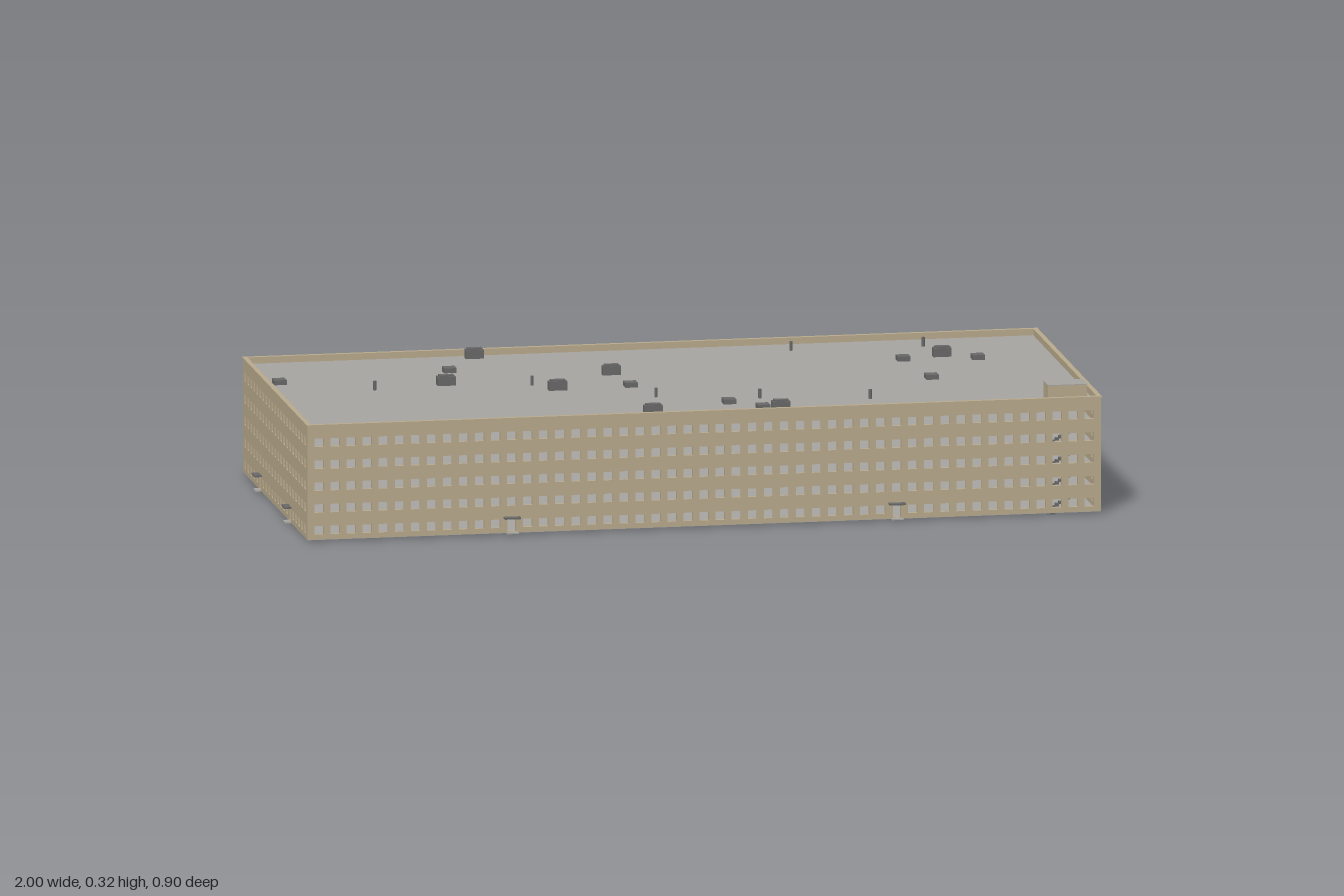
import * as THREE from 'three';

const material = (name, color) => new THREE.MeshStandardMaterial({ name, color });
const tan = material('tan masonry', 0xb7a98b);
const grey = material('grey concrete', 0xa6a4a1);
const dark = material('dark metal', 0x686868);

const HX = 0.982, HZ = 0.43;            // half length and half depth
const BASE = 0.005, ROOF = 0.274, TOP = 0.29;
const STEP = 0.0397, STOREY = 0.0543;   // window and floor spacing
const WALL = 0.01;

function box(parent, name, mat, w, h, d, x, y, z) {
  const mesh = new THREE.Mesh(new THREE.BoxGeometry(w, h, d), mat);
  mesh.name = name;
  mesh.position.set(x, y, z);
  parent.add(mesh);
  return mesh;
}

// Counter-clockwise rectangle, centred on x, from y0 to y1
function rect(Type, x, w, y0, y1) {
  const p = new Type();
  p.moveTo(x - w / 2, y0).lineTo(x + w / 2, y0).lineTo(x + w / 2, y1).lineTo(x - w / 2, y1).closePath();
  return p;
}

// Wall with window openings and two doorways; outer face at local z = 0
function wallGeometry(half, side, doorIndex) {
  const shape = rect(THREE.Shape, 0, half * 2, BASE, TOP);
  for (let row = 0; row < 5; row++) {
    for (let i = -side; i <= side; i++) {
      const y = 0.028 + row * STOREY, x = i * STEP;
      const door = row === 0 && Math.abs(i) === doorIndex;
      shape.holes.push(door
        ? rect(THREE.Path, x, 0.02, 0.008, 0.039)
        : rect(THREE.Path, x, 0.023, y - 0.0105, y + 0.0105));
    }
  }
  return new THREE.ExtrudeGeometry(shape, { depth: WALL, bevelEnabled: false }).translate(0, 0, -WALL);
}

function facade(name, geometry, half, doorX, out) {
  const g = new THREE.Group();
  g.name = name;
  const wall = new THREE.Mesh(geometry, tan);
  wall.name = 'windowWall';
  g.add(wall);
  // Projecting parapet band
  box(g, 'parapetBand', tan, half * 2 + 0.004, 0.004, WALL + 0.002, 0, TOP - 0.002, -WALL / 2 + 0.001);
  // Entrance canopies and doorsteps
  for (const s of [-1, 1]) {
    box(g, 'canopy', dark, 0.04, 0.004, out, s * doorX, 0.043, out / 2);
    box(g, 'doorstep', grey, 0.03, 0.003, out - 0.003, s * doorX, 0.0055, (out - 0.003) / 2);
  }
  return g;
}

export function createModel() {
  const model = new THREE.Group();
  model.name = 'officeBuilding';

  // Four facades
  const longWall = wallGeometry(HX, 24, 12);
  const shortWall = wallGeometry(HZ - WALL, 10, 5);
  const front = facade('frontFacade', longWall, HX, 12 * STEP, 0.018);
  front.position.z = HZ;
  const back = facade('backFacade', longWall, HX, 12 * STEP, 0.018);
  back.position.z = -HZ;
  back.rotation.y = Math.PI;
  const left = facade('leftFacade', shortWall, HZ - WALL, 5 * STEP, 0.018);
  left.position.x = HX;
  left.rotation.y = Math.PI / 2;
  const right = facade('rightFacade', shortWall, HZ - WALL, 5 * STEP, 0.018);
  right.position.x = -HX;
  right.rotation.y = -Math.PI / 2;
  model.add(front, back, left, right);

  // Ground slab and roof
  const inX = (HX - WALL) * 2, inZ = (HZ - WALL) * 2;
  box(model, 'groundSlab', grey, HX * 2 - 0.002, 0.003, HZ * 2 - 0.002, 0, 0.0055, 0);
  box(model, 'roof', grey, inX, 0.004, inZ, 0, ROOF - 0.002, 0);

  // Upper floors with a stairwell opening
  const floor = rect(THREE.Shape, 0, inX, -inZ / 2, inZ / 2);
  floor.holes.push(rect(THREE.Path, 0.9, 0.09, -0.411, -0.395));
  const floorGeometry = new THREE.ExtrudeGeometry(floor, { depth: 0.003, bevelEnabled: false })
    .rotateX(-Math.PI / 2);
  for (let i = 1; i < 5; i++) {
    const mesh = new THREE.Mesh(floorGeometry, grey);
    mesh.name = 'floorSlab';
    mesh.position.y = i * STOREY - 0.0005;
    model.add(mesh);
  }

  // One flight of stairs per storey
  const stairs = new THREE.Group();
  stairs.name = 'stairs';
  const treads = 10;
  for (let f = 0; f < 4; f++) {
    for (let i = 0; i < treads; i++) {
      box(stairs, 'tread', dark, 0.009, 0.0065, 0.013,
        0.86 + i * 0.0088, 0.006 + f * STOREY + (i + 0.5) * STOREY / treads, 0.402);
    }
  }
  box(stairs, 'stairFooting', dark, 0.02, 0.005, 0.028, 0.86, 0.0025, 0.411);
  model.add(stairs);

  // Stair house on the roof
  box(model, 'stairHouse', tan, 0.096, 0.042, 0.062, 0.903, ROOF + 0.021, 0.378);
  box(model, 'stairHouseRoof', grey, 0.098, 0.002, 0.064, 0.903, 0.317, 0.378);

  // Air handlers: long box with a raised fan on top
  for (const [x, z] of [[-0.417, -0.39], [-0.545, -0.075], [-0.289, 0.032], [-0.126, -0.131],
    [-0.115, 0.366], [0.2, 0.372], [0.706, -0.206]]) {
    box(model, 'airHandler', dark, 0.045, 0.022, 0.021, x, ROOF + 0.011, z);
    box(model, 'airHandlerCap', dark, 0.036, 0.004, 0.016, x, ROOF + 0.024, z);
  }
  // Low square roof hatches
  for (const [x, z] of [[-0.508, -0.233], [-0.941, -0.163], [-0.107, 0.024], [0.604, -0.174],
    [0.786, -0.158], [0.631, 0.061], [0.091, 0.27], [0.16, 0.35]]) {
    box(model, 'roofHatch', dark, 0.031, 0.012, 0.031, x, ROOF + 0.006, z);
  }
  // Vent pipes
  const pipe = new THREE.CylinderGeometry(0.004, 0.004, 0.023, 10);
  for (const [x, z] of [[-0.727, -0.045], [-0.34, -0.035], [-0.07, 0.163], [0.176, 0.222],
    [0.358, -0.342], [0.684, -0.334], [0.439, 0.278]]) {
    const mesh = new THREE.Mesh(pipe, dark);
    mesh.name = 'ventPipe';
    mesh.position.set(x, ROOF + 0.0115, z);
    model.add(mesh);
  }
  return model;
}
